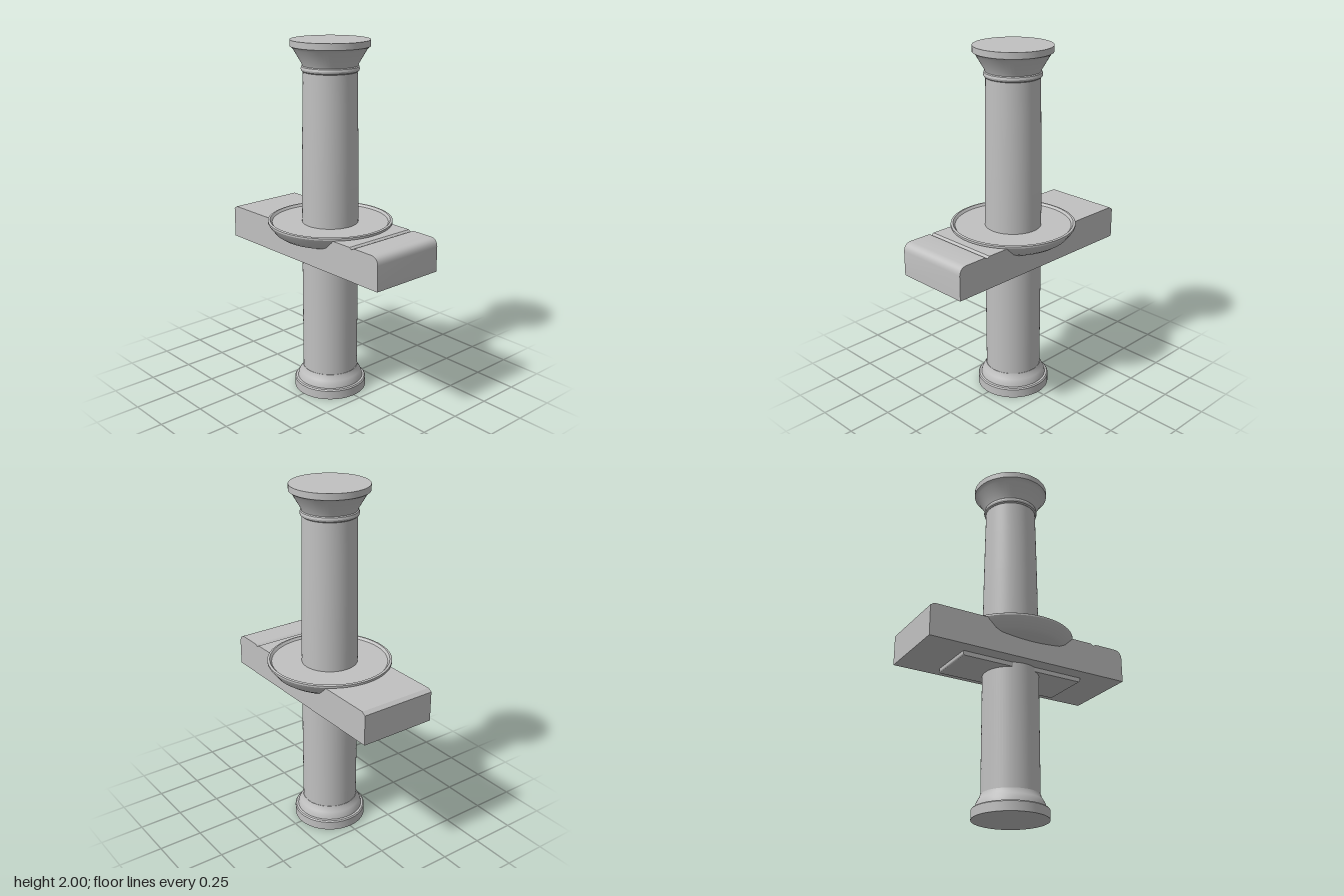
import * as THREE from 'three';
import { toCreasedNormals } from 'three/addons/utils/BufferGeometryUtils.js';

export function createModel() {
  const model = new THREE.Group();
  const stone = new THREE.MeshStandardMaterial({ color: 0xc0c0c0 });
  stone.name = 'grey stone';

  function add(name, geometry) {
    const mesh = new THREE.Mesh(toCreasedNormals(geometry, 0.5), stone);
    mesh.name = name;
    model.add(mesh);
  }
  // Profiles run from the bottom axis outward and up
  const lathe = (name, profile) => add(name,
    new THREE.LatheGeometry(profile.map(([r, y]) => new THREE.Vector2(r, y)), 64));
  // Side outline (z, y) swept across x
  function sweep(name, shape, width) {
    const geometry = new THREE.ExtrudeGeometry(shape, { depth: width, bevelEnabled: false, curveSegments: 8 });
    geometry.translate(0, 0, -width / 2).rotateY(-Math.PI / 2);
    add(name, geometry);
  }

  // Column: plinth with curved foot, tapering shaft, neck ring and flared capital
  lathe('columnBase', [[0, 0], [0.205, 0], [0.205, 0.05], [0.199, 0.057], [0.187, 0.059],
    [0.183, 0.078], [0.173, 0.098], [0.163, 0.113], [0.158, 0.13], [0, 0.13]]);
  lathe('columnShaft', [[0, 0.1], [0.156, 0.1], [0.156, 1.1], [0.153, 1.4], [0.149, 1.65],
    [0.145, 1.85], [0, 1.85]]);
  lathe('neckRing', [[0, 1.832], [0.146, 1.832], [0.154, 1.838], [0.157, 1.848],
    [0.154, 1.86], [0.147, 1.866], [0, 1.866]]);
  lathe('capital', [[0, 1.86], [0.147, 1.86], [0.153, 1.877], [0.196, 1.95], [0.205, 1.961],
    [0.214, 1.966], [0.214, 2], [0, 2]]);

  // Cross beam: rounded front nose, shallow groove, bevelled back edge
  const beam = new THREE.Shape();
  beam.moveTo(-0.6, 0.815);
  beam.lineTo(0.6, 0.815);
  beam.lineTo(0.6, 0.955);
  beam.quadraticCurveTo(0.597, 0.998, 0.555, 1);
  beam.lineTo(0.435, 1);
  beam.quadraticCurveTo(0.418, 0.999, 0.408, 0.99);
  beam.lineTo(0.394, 1);
  beam.lineTo(-0.578, 1);
  beam.lineTo(-0.6, 0.985);
  sweep('crossBeam', beam, 0.44);

  // Shallow dish with a raised rim
  lathe('dish', [[0, 0.914], [0.1, 0.914], [0.215, 0.92], [0.285, 0.934], [0.308, 0.95],
    [0.338, 0.988], [0.347, 1.003], [0.347, 1.013], [0.342, 1.016], [0.334, 1.016],
    [0.323, 1.003], [0, 1.003]]);

  // Plate under the beam with softened lower ends
  const plate = new THREE.Shape();
  plate.moveTo(-0.365, 0.82);
  plate.lineTo(-0.365, 0.8);
  plate.quadraticCurveTo(-0.364, 0.79, -0.352, 0.79);
  plate.lineTo(0.352, 0.79);
  plate.quadraticCurveTo(0.364, 0.79, 0.365, 0.8);
  plate.lineTo(0.365, 0.82);
  sweep('underPlate', plate, 0.28);

  return model;
}
